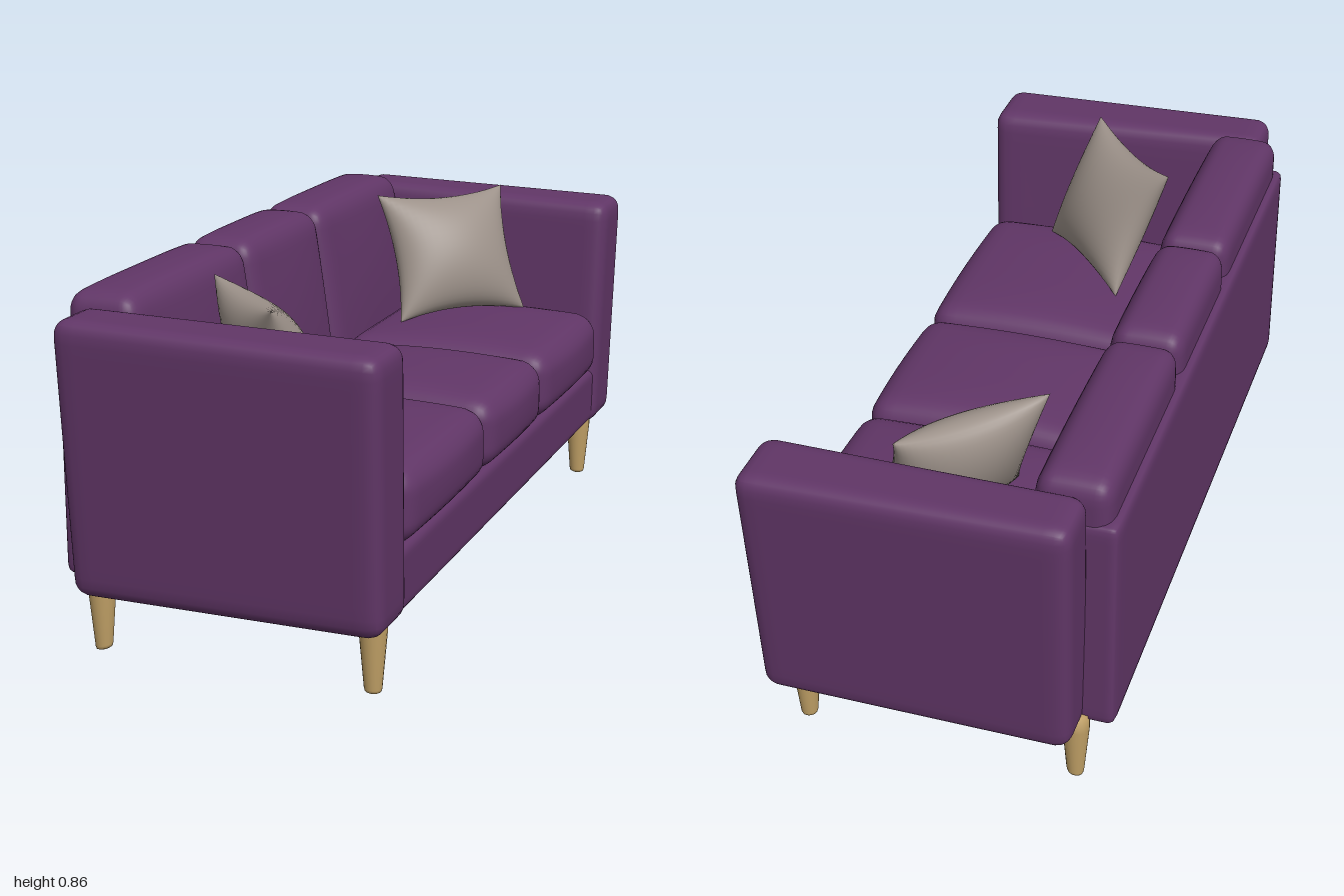
import * as THREE from 'three';
import { mergeVertices } from 'three/addons/utils/BufferGeometryUtils.js';

const fabric = new THREE.MeshStandardMaterial({ name: 'purple fabric', color: 0x613667 });
const linen = new THREE.MeshStandardMaterial({ name: 'grey linen', color: 0x9c9189 });
const wood = new THREE.MeshStandardMaterial({ name: 'light wood', color: 0xc0a066 });

function smooth(geo) {
  geo.deleteAttribute('uv');
  geo.deleteAttribute('normal');
  const merged = mergeVertices(geo, 1e-5);
  merged.computeVertexNormals();
  return merged;
}

// Rounded block between two corners; rule(p, n) may reshape each point,
// n being its position within the block from -1 to 1
function softBlock(name, min, max, r, rule, seg = 22) {
  const lo = new THREE.Vector3(...min), hi = new THREE.Vector3(...max);
  const half = hi.clone().sub(lo).multiplyScalar(0.5);
  const mid = hi.clone().add(lo).multiplyScalar(0.5);
  const inner = half.clone().subScalar(r);
  const geo = new THREE.BoxGeometry(2, 2, 2, seg, seg, seg);
  const pos = geo.attributes.position;
  const p = new THREE.Vector3(), core = new THREE.Vector3();
  for (let i = 0; i < pos.count; i++) {
    p.fromBufferAttribute(pos, i);
    // Crowd the grid towards the edges so that they round well
    p.set(...p.toArray().map((t) => Math.sin(t * Math.PI / 2))).multiply(half);
    core.copy(p).clamp(inner.clone().negate(), inner);
    p.sub(core).setLength(r).add(core);
    const n = p.clone().divide(half);
    p.add(mid);
    if (rule) rule(p, n);
    pos.setXYZ(i, p.x, p.y, p.z);
  }
  const mesh = new THREE.Mesh(smooth(geo), fabric);
  mesh.name = name;
  return mesh;
}

// Square pillow with pinched sides, leaning into the corner on side s
function pillow(name, s) {
  const geo = new THREE.BoxGeometry(2, 2, 2, 24, 24, 1);
  const pos = geo.attributes.position;
  for (let i = 0; i < pos.count; i++) {
    const u = Math.sin(pos.getX(i) * Math.PI / 2), v = Math.sin(pos.getY(i) * Math.PI / 2);
    const puff = Math.pow(Math.max(0, (1 - u * u) * (1 - v * v)), 0.5);
    pos.setXYZ(i,
      0.198 * u * (1 - 0.13 * (1 - v * v)),
      0.184 * v * (1 - 0.13 * (1 - u * u)),
      0.085 * puff * Math.sign(pos.getZ(i)));
  }
  const across = new THREE.Vector3(0.27, 0, 0.285 * s).normalize();
  const up = new THREE.Vector3(-0.11, 0.33, 0.105 * s).normalize();
  const out = across.clone().cross(up).normalize();
  const result = smooth(geo);
  result.applyMatrix4(new THREE.Matrix4().makeBasis(across, up, out).setPosition(0.02, 0.685, 0.625 * s));
  const mesh = new THREE.Mesh(result, linen);
  mesh.name = name;
  return mesh;
}

// Tapered leg with a rounded foot, sheared from its top to its foot
function leg(name, topX, footX, z) {
  const profile = [[0, 0], [0.014, 0], [0.019, 0.003], [0.021, 0.01], [0.033, 0.15], [0.033, 0.2], [0, 0.2]]
    .map(([r, y]) => new THREE.Vector2(r, y));
  const geo = new THREE.LatheGeometry(profile, 20);
  geo.applyMatrix4(new THREE.Matrix4().makeShear((topX - footX) / 0.18, 0, 0, 0, 0, 0));
  const mesh = new THREE.Mesh(geo, wood);
  mesh.name = name;
  mesh.position.set(footX, 0.003, z);
  return mesh;
}

export function createModel() {
  const sofa = new THREE.Group();
  sofa.name = 'sofa';

  // Frame
  sofa.add(softBlock('base', [-0.38, 0.175, -0.85], [0.4, 0.335, 0.85], 0.025));
  sofa.add(softBlock('backPanel', [-0.425, 0.176, -0.853], [-0.26, 0.755, 0.847], 0.022));

  // Arms lean outwards, drop a little to the front and thicken inwards
  for (const s of [1, -1]) {
    const z = [0.805 * s, 0.982 * s].sort((a, b) => a - b);
    sofa.add(softBlock(s > 0 ? 'leftArm' : 'rightArm',
      [-0.352, 0.17, z[0]], [0.413, 0.824, z[1]], 0.04, (p, n) => {
        p.z += s * 0.02 * n.y;
        if (n.z * s < 0) p.z += n.z * 0.015 * n.x;
        if (n.y > 0) p.y -= 0.009 * n.x * n.y;
        p.x += 0.004 * n.y * (n.x < 0 ? -1 : 1);
      }));
  }

  // Three seat cushions and three back cushions
  const seams = [-0.85, -0.25, 0.215, 0.84];
  const seatEnds = [-0.795, -0.25, 0.22, 0.795];
  for (let i = 0; i < 3; i++) {
    sofa.add(softBlock(`seatCushion${i + 1}`,
      [-0.17, 0.325, seatEnds[i] + 0.003], [0.41, 0.505, seatEnds[i + 1] - 0.003], 0.055, (p, n) => {
        p.y += 0.024 * Math.max(0, n.y) * (1 - n.x * n.x) * (1 - n.z ** 4);
        p.x += 0.014 * Math.max(0, n.x) * (1 - n.z * n.z) * (1 - n.y * n.y);
      }));
    sofa.add(softBlock(`backCushion${i + 1}`,
      [-0.406, 0.4, seams[i] + 0.003], [-0.2, 0.853, seams[i + 1] - 0.003], 0.045, (p, n) => {
        const front = (n.x + 1) / 2;
        p.x -= front * 0.032 * n.y;
        p.x += 0.012 * Math.max(0, n.x) * (1 - n.z * n.z) * (1 - n.y * n.y);
        p.y += 0.012 * Math.max(0, n.y) * (1 - n.x * n.x) * (1 - n.z ** 4);
      }));
  }

  // Pillows and legs, mirrored left and right
  for (const s of [1, -1]) {
    const side = s > 0 ? 'left' : 'right';
    sofa.add(pillow(`${side}Pillow`, s));
    sofa.add(leg(`${side}FrontLeg`, 0.338, 0.348, 0.842 * s));
    sofa.add(leg(`${side}BackLeg`, -0.292, -0.33, 0.842 * s));
  }
  return sofa;
}
